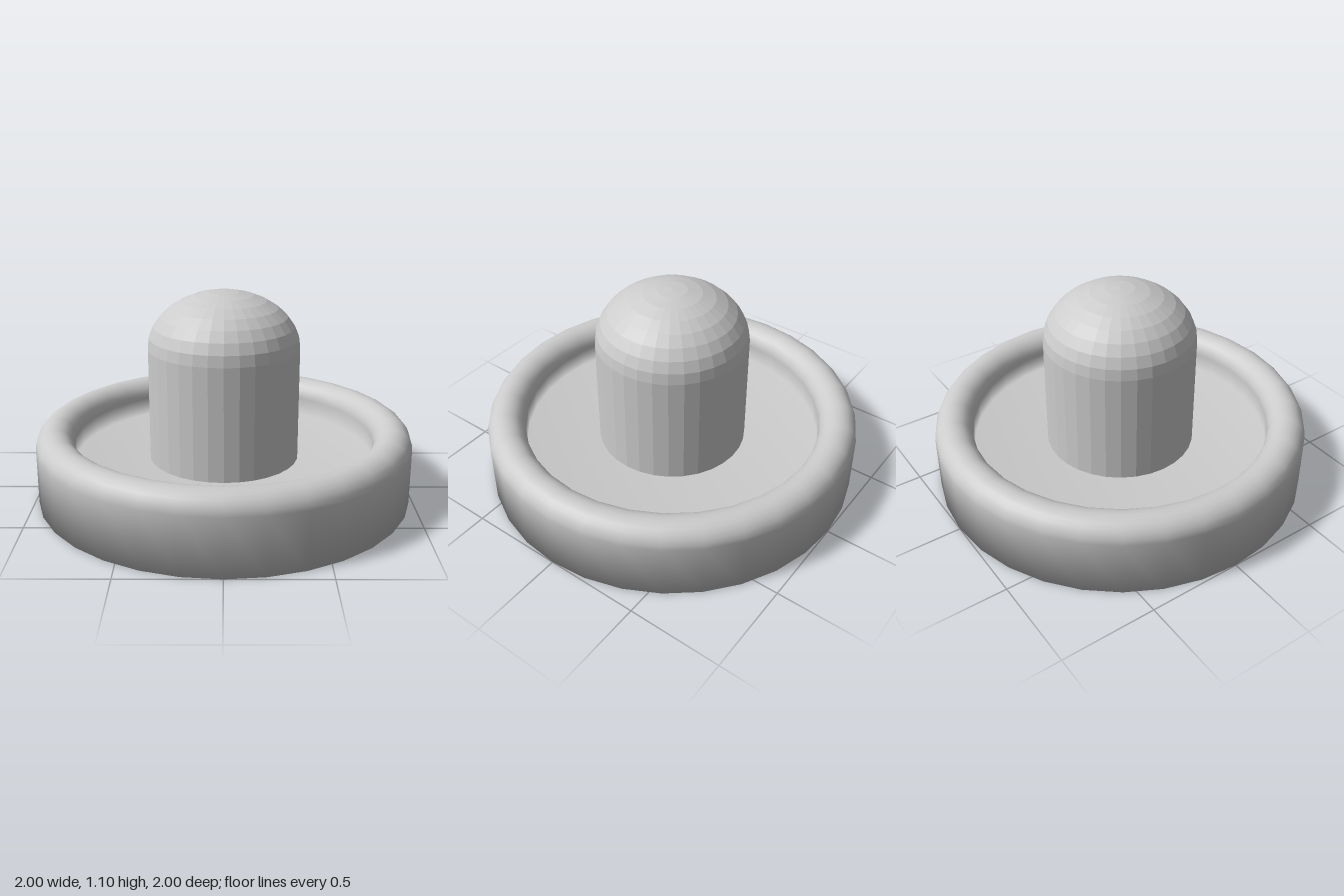
import * as THREE from 'three';

const SIDES = 32;

export function createModel() {
  const group = new THREE.Group();
  const smooth = new THREE.MeshStandardMaterial({ color: 0xcccccc });
  const faceted = new THREE.MeshStandardMaterial({ color: 0xcccccc, flatShading: true });

  const add = (name, geometry, material, y = 0) => {
    const mesh = new THREE.Mesh(geometry, material);
    mesh.name = name;
    mesh.position.y = y;
    group.add(mesh);
  };

  // Dished base: flat underside, outer wall, rounded rim, inner wall and floor
  const profile = [new THREE.Vector2(0, 0), new THREE.Vector2(1, 0)];
  const rimSteps = 12;
  for (let i = 0; i <= rimSteps; i++) {
    const a = (Math.PI * i) / rimSteps;
    profile.push(new THREE.Vector2(0.9 + 0.1 * Math.cos(a), 0.3 + 0.1 * Math.sin(a)));
  }
  profile.push(new THREE.Vector2(0.8, 0.2), new THREE.Vector2(0, 0.2));
  add('base', new THREE.LatheGeometry(profile, SIDES), smooth);

  // Upright grip rising from the dish floor
  add('gripStem', new THREE.CylinderGeometry(0.4, 0.4, 0.6, SIDES, 1, true), faceted, 0.5);

  // Flattened dome on top of the grip
  const dome = new THREE.SphereGeometry(0.4, SIDES, 8, 0, Math.PI * 2, 0, Math.PI / 2);
  dome.scale(1, 0.75, 1);
  add('gripDome', dome, faceted, 0.8);

  return group;
}
